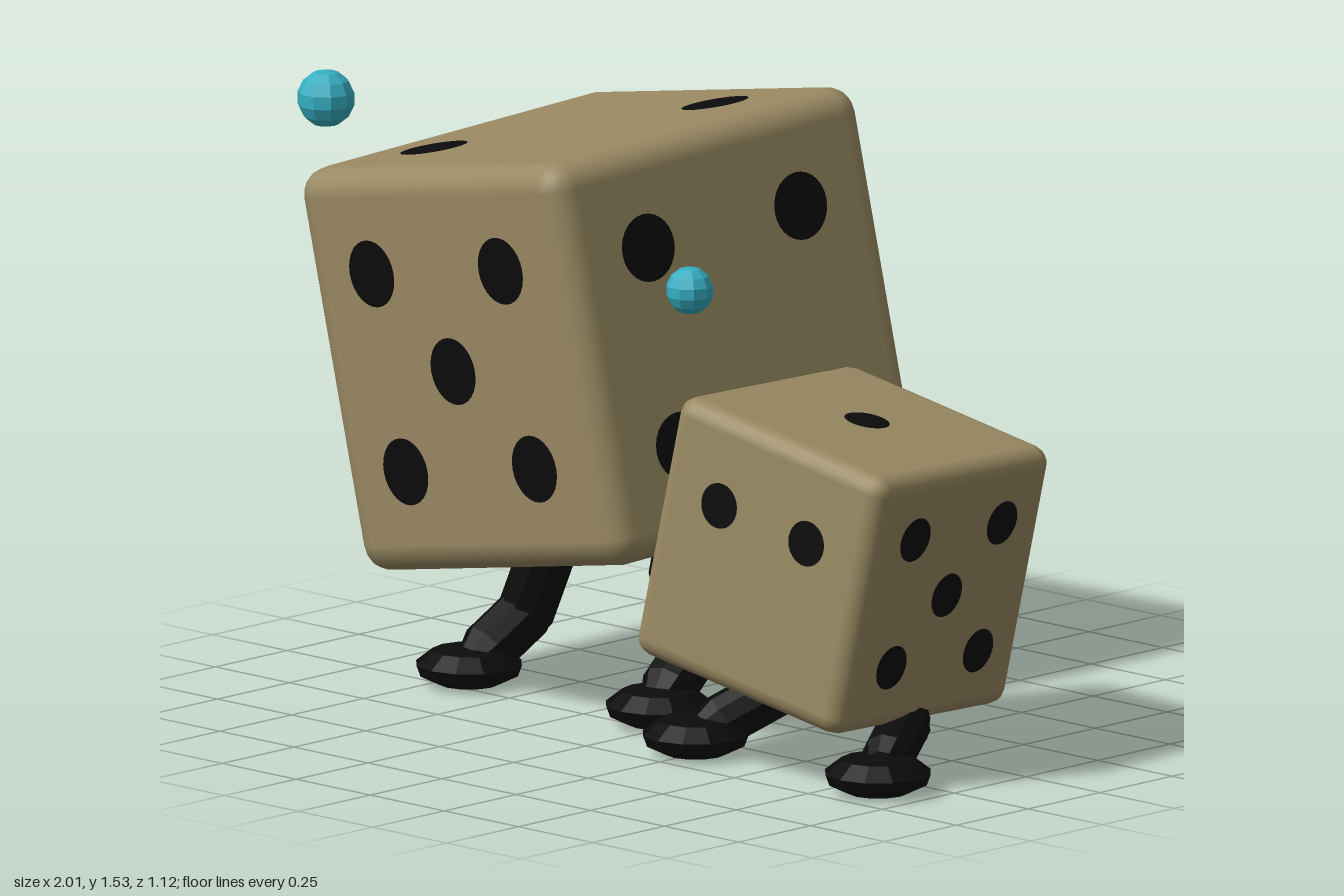
import * as THREE from 'three';
import { RoundedBoxGeometry } from 'three/addons/geometries/RoundedBoxGeometry.js';

const mat = (name, color) => {
  const m = new THREE.MeshStandardMaterial({ color });
  m.name = name;
  return m;
};

// Faceted normals for the low-poly parts
const facet = (g) => {
  const f = g.index ? g.toNonIndexed() : g;
  f.computeVertexNormals();
  return f;
};

const add = (parent, name, geometry, material) => {
  const m = new THREE.Mesh(geometry, material);
  m.name = name;
  parent.add(m);
  return m;
};

// Direction of each die face
const FACES = {
  front: [0, 0, 1], back: [0, 0, -1], leftSide: [1, 0, 0], top: [0, 1, 0],
};
const FOUR = [[-1, -1], [1, -1], [-1, 1], [1, 1]];
const FIVE = [...FOUR, [0, 0]];

export function createModel() {
  const tan = mat('tan', 0x9a8a63);
  const black = mat('black', 0x0b0b0b);
  const teal = mat('teal', 0x35aec2);
  const model = new THREE.Group();
  model.name = 'walkingDice';

  // Rounded cube with round spots; each spot is given in units of the spot spacing
  const die = (name, size, radius, spotRadius, spread, position, rotation, spots) => {
    const g = new THREE.Group();
    g.name = name;
    add(g, 'cube', new RoundedBoxGeometry(size, size, size, 2, radius), tan);
    for (const [face, list] of Object.entries(spots)) {
      const side = new THREE.Group();
      side.name = face + 'Spots';
      const n = new THREE.Vector3(...FACES[face]);
      side.position.copy(n).multiplyScalar(size / 2 + 0.003);
      side.quaternion.setFromUnitVectors(new THREE.Vector3(0, 0, 1), n);
      if (face === 'back') side.rotation.set(0, Math.PI, 0);
      for (const [u, v] of list) {
        add(side, 'spot', new THREE.CircleGeometry(spotRadius, 28), black)
          .position.set(u * spread, v * spread, 0);
      }
      g.add(side);
    }
    g.position.set(...position);
    g.rotation.set(...rotation);
    model.add(g);
  };

  die('largeDie', 1.0, 0.07, 0.083, 0.245, [-0.405, 0.895, 0], [0.065, -0.085, 0.19], {
    front: FIVE, leftSide: FOUR, back: [[0, 0]], top: [[1, 1], [-1, -1]],
  });
  die('smallDie', 0.665, 0.046, 0.056, 0.165, [0.562, 0.527, 0.186], [-0.045, 0.08, -0.19], {
    front: [[-0.85, 0.67], [0.85, 0.67]], leftSide: FIVE, back: FOUR, top: [[0, 0]],
  });

  // Legs: flat round foot, shin and thigh
  const footGeo = facet(new THREE.LatheGeometry([
    [0, 0.003], [0.075, 0.005], [0.122, 0.028], [0.132, 0.055], [0.09, 0.088], [0, 0.1],
  ].map(([x, y]) => new THREE.Vector2(x, y)), 12));

  const limb = (parent, name, a, b, r) => {
    const from = new THREE.Vector3(...a), to = new THREE.Vector3(...b);
    const dir = to.clone().sub(from);
    const m = add(parent, name, facet(new THREE.CapsuleGeometry(r, dir.length(), 2, 10)), black);
    m.position.copy(from).add(to).multiplyScalar(0.5);
    m.quaternion.setFromUnitVectors(new THREE.Vector3(0, 1, 0), dir.normalize());
  };

  const leg = (name, foot, ankle, knee, hip, r) => {
    const g = new THREE.Group();
    g.name = name;
    add(g, 'foot', footGeo, black).position.set(foot[0], 0, foot[1]);
    limb(g, 'shin', ankle, knee, r);
    limb(g, 'thigh', knee, hip, r);
    model.add(g);
  };

  leg('largeDieRightLeg', [-0.68, 0.205], [-0.66, 0.085, 0.16], [-0.64, 0.16, 0.05], [-0.575, 0.34, 0.03], 0.07);
  leg('largeDieLeftLeg', [-0.04, 0.205], [-0.05, 0.085, 0.16], [-0.07, 0.16, 0.05], [-0.15, 0.35, 0.03], 0.07);
  leg('smallDieRightLeg', [0.25, 0.376], [0.28, 0.08, 0.32], [0.345, 0.145, 0.2], [0.4, 0.3, 0.19], 0.065);
  leg('smallDieLeftLeg', [0.865, 0.376], [0.845, 0.08, 0.32], [0.785, 0.13, 0.2], [0.72, 0.28, 0.19], 0.065);

  // Floating beads
  for (const [name, r, x, y, z] of [
    ['rightBead', 0.071, -0.92, 1.46, 0.455], ['leftBead', 0.059, 0.29, 1.17, 0.437],
  ]) {
    add(model, name, facet(new THREE.SphereGeometry(r, 10, 7)), teal).position.set(x, y, z);
  }
  return model;
}
